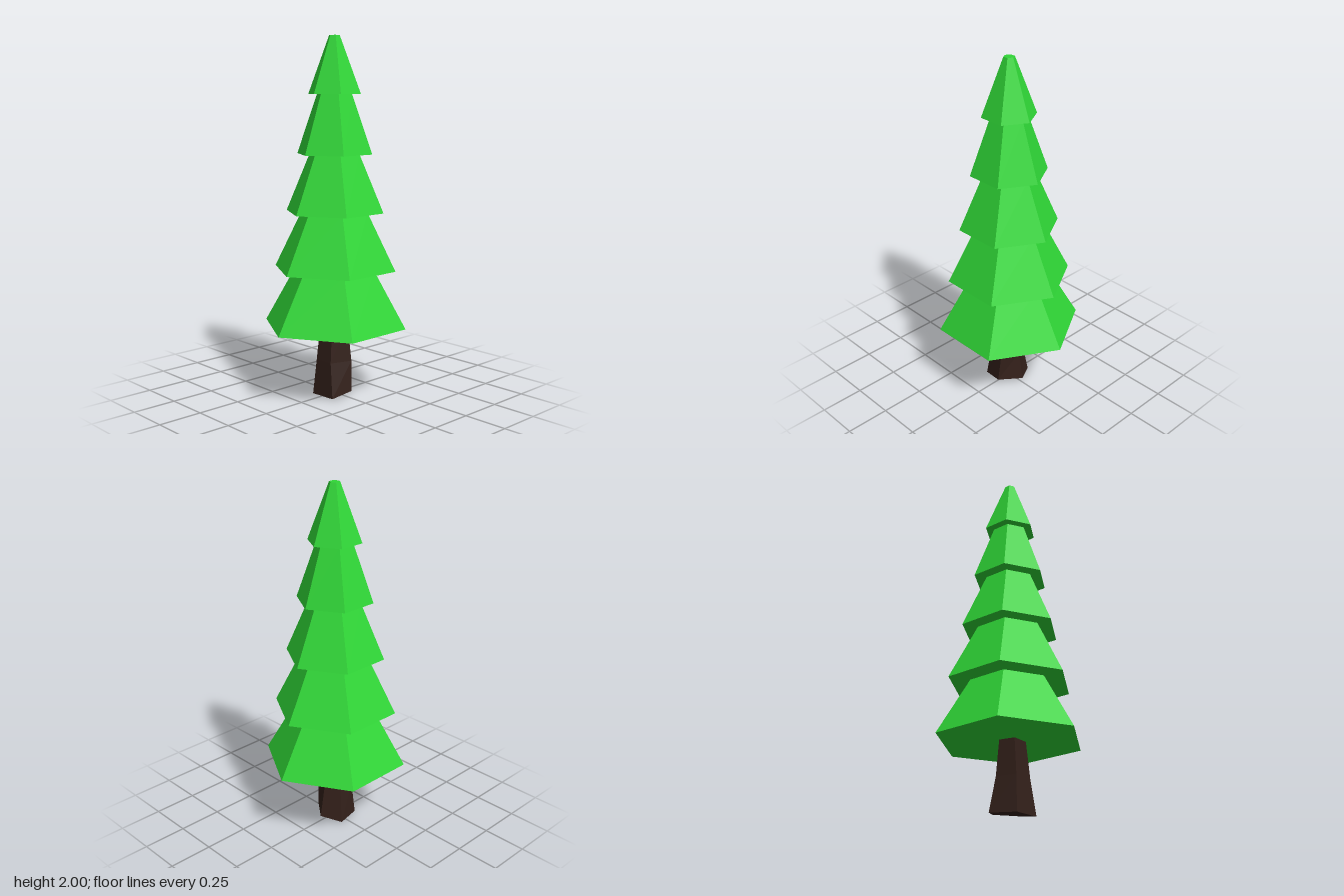
import * as THREE from 'three';

const green = new THREE.MeshStandardMaterial({ color: 0x2fd636, flatShading: true });
const brown = new THREE.MeshStandardMaterial({ color: 0x33201a, flatShading: true });

// Closed solid lofted through rings of corners, bottom ring first,
// each ring running from +x towards +z.
function loft(rings) {
  const pos = [];
  const tri = (...corners) => corners.forEach((c) => pos.push(...c));
  const n = rings[0].length;
  for (let r = 0; r < rings.length - 1; r++) {
    const low = rings[r], up = rings[r + 1];
    for (let i = 0; i < n; i++) {
      const j = (i + 1) % n;
      tri(low[j], low[i], up[i]);
      tri(low[j], up[i], up[j]);
    }
  }
  const bottom = rings[0], top = rings[rings.length - 1];
  for (let i = 1; i < n - 1; i++) {
    tri(bottom[0], bottom[i], bottom[i + 1]);
    tri(top[0], top[i + 1], top[i]);
  }
  const geometry = new THREE.BufferGeometry();
  geometry.setAttribute('position', new THREE.Float32BufferAttribute(pos, 3));
  geometry.computeVertexNormals();
  return geometry;
}

export function createModel() {
  const tree = new THREE.Group();
  tree.name = 'pineTree';

  // Irregular five-sided trunk, flaring to an uneven foot
  const trunk = new THREE.Mesh(loft([
    [[0.115, 0.03, 0], [0.025, 0.03, 0.115], [-0.1, 0.005, 0.09], [-0.1, 0, -0.07], [0.05, 0.01, -0.11]],
    [[0.085, 0.2, 0], [0.037, 0.2, 0.1], [-0.085, 0.2, 0.06], [-0.085, 0.2, -0.055], [0.03, 0.2, -0.08]],
    [[0.06, 0.41, 0], [0.027, 0.41, 0.08], [-0.065, 0.41, 0.05], [-0.065, 0.41, -0.045], [0.02, 0.41, -0.065]],
  ]), brown);
  trunk.name = 'trunk';
  tree.add(trunk);

  // Stacked hexagonal foliage tiers: bottom y, top y, bottom radius, top radius
  const tiers = [
    [0.4, 0.72, 0.41, 0.228],
    [0.72, 1.04, 0.35, 0.19],
    [1.04, 1.36, 0.28, 0.143],
    [1.36, 1.685, 0.215, 0.1],
    [1.685, 2, 0.15, 0.03],
  ];
  tiers.forEach(([y0, y1, r0, r1], i) => {
    const geometry = new THREE.CylinderGeometry(r1, r0, y1 - y0, 6, 1, false, Math.PI / 6);
    const tier = new THREE.Mesh(geometry, green);
    tier.position.y = (y0 + y1) / 2;
    tier.name = `foliageTier${i + 1}`;
    tree.add(tier);
  });

  return tree;
}
